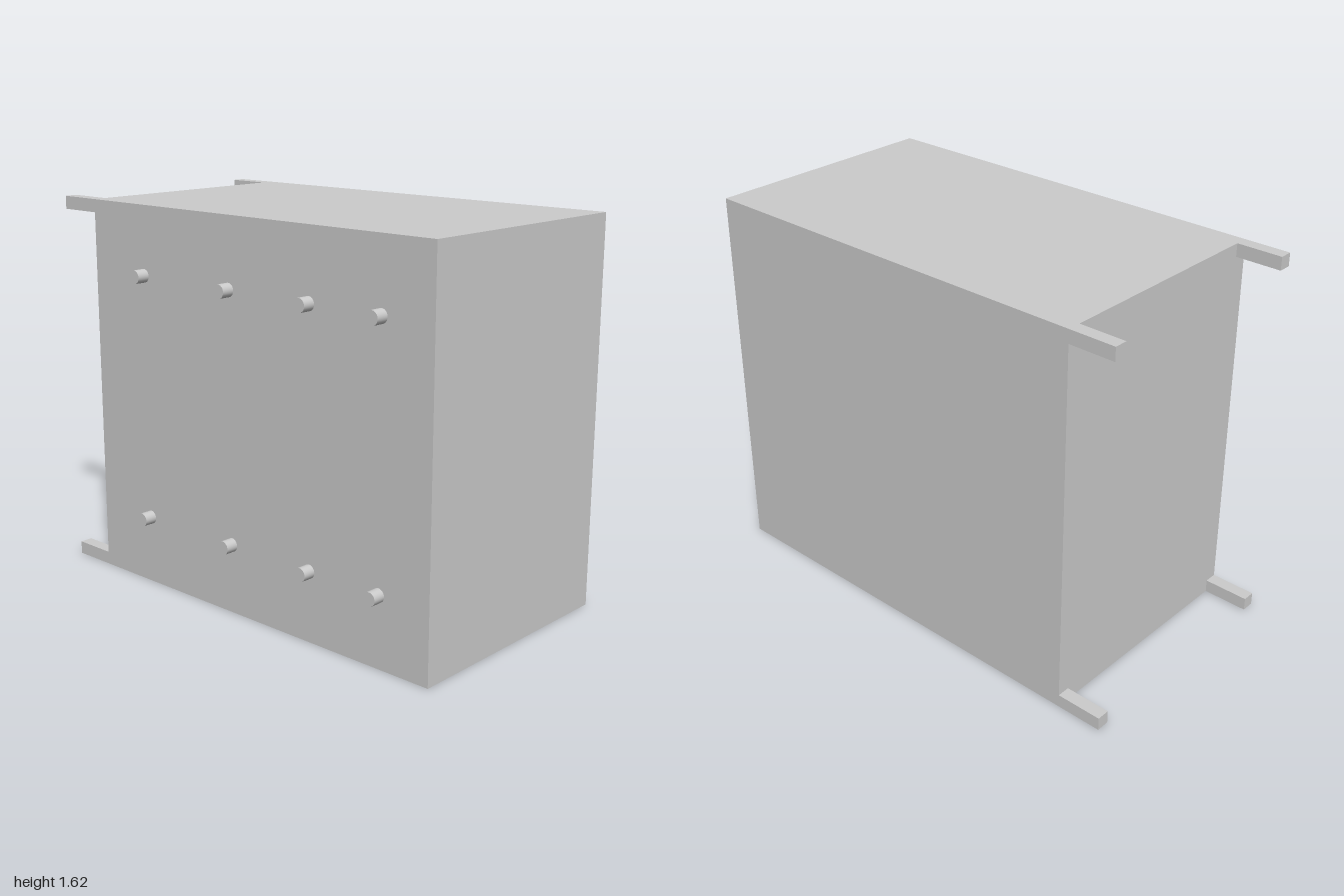
import * as THREE from 'three';

export function createModel() {
  const group = new THREE.Group();
  const material = new THREE.MeshStandardMaterial({ color: 0xcccccc });

  const H = 1.615, X0 = -0.497, X1 = 0.549, BACK = -0.805;

  // Box given by its minimum and maximum corners
  function addBox(name, min, max) {
    const size = max.map((v, i) => v - min[i]);
    const mesh = new THREE.Mesh(new THREE.BoxGeometry(...size), material);
    mesh.position.set(...max.map((v, i) => (v + min[i]) / 2));
    mesh.name = name;
    group.add(mesh);
  }

  // Main block
  addBox('body', [X0, 0, BACK], [X1, H, 1]);

  // Square bars extending from the four back corners
  const bar = 0.055;
  for (const [side, x] of [['Right', X0], ['Left', X1 - bar]]) {
    for (const [level, y] of [['lower', 0], ['upper', H - bar]]) {
      addBox(`${level}${side}Bar`, [x, y, -1], [x + bar, y + bar, BACK]);
    }
  }

  // Two rows of round pegs on the right side
  const pegLength = 0.053;
  const pegGeometry = new THREE.CylinderGeometry(0.028, 0.028, pegLength, 24).rotateZ(Math.PI / 2);
  for (const y of [0.292, 1.327]) {
    for (const z of [-0.5, -0.005, 0.417, 0.763]) {
      const peg = new THREE.Mesh(pegGeometry, material);
      peg.position.set(X0 - pegLength / 2, y, z);
      peg.name = 'peg';
      group.add(peg);
    }
  }

  return group;
}
